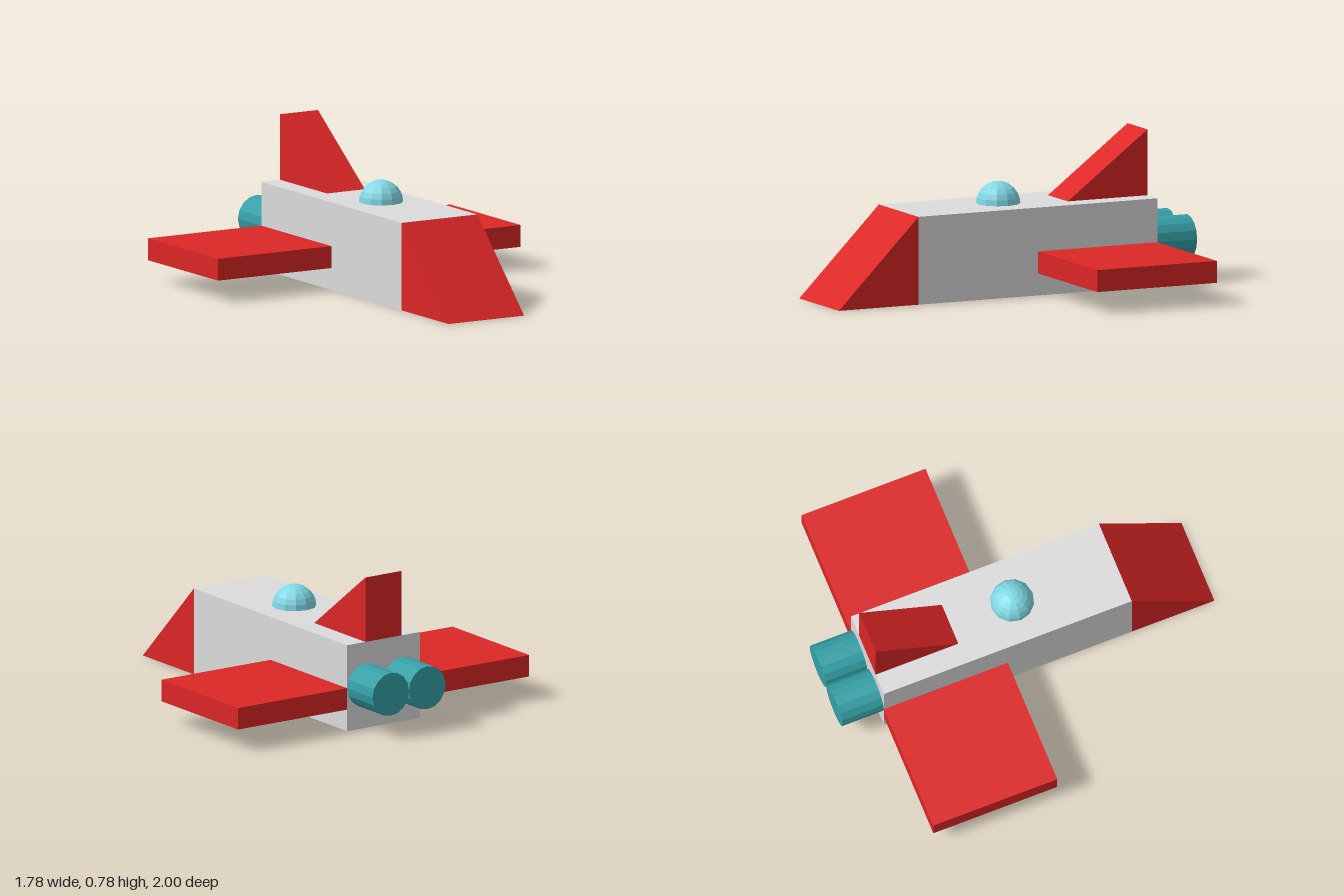
import * as THREE from 'three';

const U = 1 / 9; // design unit

function material(name, color, flatShading = false) {
  const m = new THREE.MeshStandardMaterial({ color, flatShading });
  m.name = name;
  return m;
}

export function createModel() {
  const red = material('red', 0xdc2626);
  const grey = material('light grey', 0xdcdcdc);
  const teal = material('teal', 0x34a0a6, true);
  const glass = material('pale cyan', 0x80d8e4, true);

  const model = new THREE.Group();
  model.name = 'spaceship';

  const add = (name, geometry, mat, x, y, z) => {
    const mesh = new THREE.Mesh(geometry, mat);
    mesh.name = name;
    mesh.position.set(x * U, y * U, z * U);
    model.add(mesh);
    return mesh;
  };
  const box = (w, h, d) => new THREE.BoxGeometry(w * U, h * U, d * U);

  // Wedge from a (z, y) side outline, extruded across x
  const wedge = (points, width) => {
    const shape = new THREE.Shape(points.map(([z, y]) => new THREE.Vector2(-z * U, y * U)));
    const g = new THREE.ExtrudeGeometry(shape, { depth: width * U, bevelEnabled: false });
    g.translate(0, 0, -width * U / 2);
    return g.rotateY(Math.PI / 2);
  };

  // Fuselage, sloping nose and tail fin
  add('fuselage', box(4, 4, 12), grey, 0, 2, -1);
  add('nose', wedge([[5, 0], [9, 0], [5, 4]], 4), red, 0, 0, 0);
  add('tailFin', wedge([[-7, 4], [-3, 4], [-7, 7]], 2), red, 0, 0, 0);

  // Cockpit dome
  const dome = new THREE.SphereGeometry(U, 12, 6, 0, Math.PI * 2, 0, Math.PI / 2);
  add('cockpitDome', dome, glass, 0, 4, 0);

  // Mirrored wings and engines
  for (const [side, s] of [['left', 1], ['right', -1]]) {
    add(side + 'Wing', box(6, 1, 6), red, s * 5, 1.5, -4);
    const engine = new THREE.CylinderGeometry(U, U, 2 * U, 16).rotateX(Math.PI / 2);
    add(side + 'Engine', engine, teal, s, 2, -8);
  }
  return model;
}
